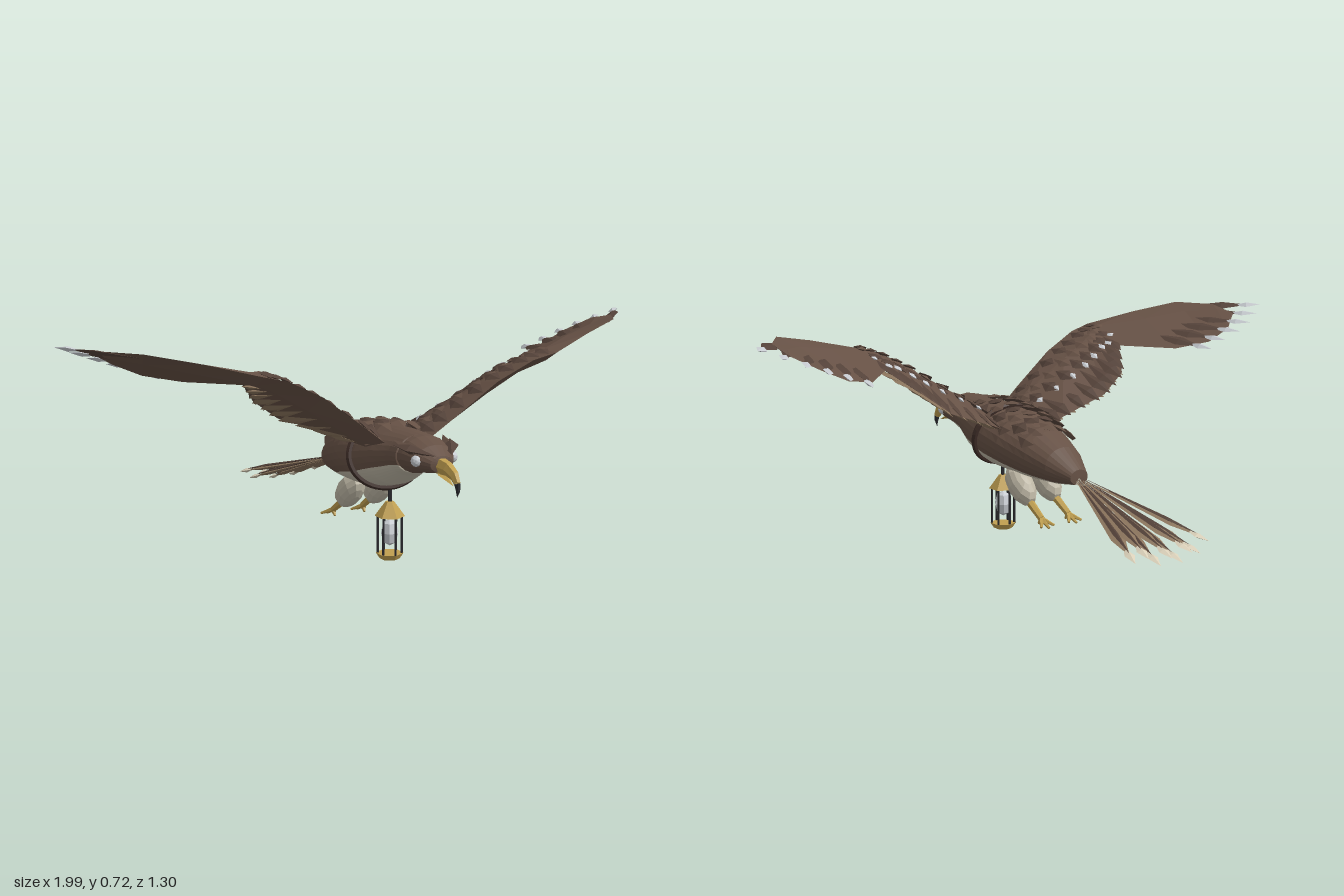
import * as THREE from 'three';

const V = (x, y, z) => new THREE.Vector3(x, y, z);
const UP = V(0, 1, 0);
const lerp = THREE.MathUtils.lerp;

function mat(name, color, flatShading = true) {
  const m = new THREE.MeshStandardMaterial({ color, flatShading, side: THREE.DoubleSide });
  m.name = name;
  return m;
}

// Linear look-up in a table sorted by its first column
function sample(table, z) {
  let i = 0;
  while (i < table.length - 2 && z > table[i + 1][0]) i++;
  const t = THREE.MathUtils.clamp((z - table[i][0]) / (table[i + 1][0] - table[i][0]), 0, 1);
  return table[i].map((v, k) => lerp(v, table[i + 1][k], t));
}

// Skin through rings of points
function loft(rings, closed = true) {
  const n = rings[0].length, idx = [];
  for (let i = 0; i < rings.length - 1; i++)
    for (let j = 0; j < (closed ? n : n - 1); j++) {
      const a = i * n + j, b = i * n + (j + 1) % n;
      idx.push(a, b, b + n, a, b + n, a + n);
    }
  const g = new THREE.BufferGeometry().setFromPoints(rings.flat());
  g.setIndex(idx);
  g.computeVertexNormals();
  return g;
}

// Tapered horn along points in the yz plane
function horn(pts, radii) {
  return loft(pts.map((p, i) => {
    const T = pts[Math.min(i + 1, pts.length - 1)].clone().sub(pts[Math.max(i - 1, 0)]).normalize();
    const n = T.clone().cross(V(1, 0, 0));
    return Array.from({ length: 6 }, (_, k) => {
      const a = k * Math.PI / 3;
      return p.clone().add(V(radii[i] * Math.cos(a) * 0.8, 0, 0)).addScaledVector(n, radii[i] * Math.sin(a));
    });
  }));
}

function add(parent, name, geo, m) {
  const mesh = new THREE.Mesh(geo, m);
  mesh.name = name;
  parent.add(mesh);
  return mesh;
}

// Pointed feather or scale from a to b, widest at fraction f
function blade(parent, name, m, a, b, w, h, f = 0.5, up = UP) {
  const dir = b.clone().sub(a), len = dir.length();
  dir.normalize();
  const side = up.clone().cross(dir).normalize();
  const g = new THREE.OctahedronGeometry(1, 0), p = g.attributes.position;
  for (let i = 0; i < p.count; i++) if (Math.abs(p.getZ(i)) < 0.5) p.setZ(i, 2 * f - 1);
  g.scale(w / 2, h / 2, len / 2);
  g.applyMatrix4(new THREE.Matrix4().makeBasis(side, dir.clone().cross(side), dir)
    .setPosition(a.clone().add(b).multiplyScalar(0.5)));
  g.computeVertexNormals();
  return add(parent, name, g, m);
}

function rod(parent, name, m, a, b, r0, r1, sides = 6) {
  const d = b.clone().sub(a);
  const mesh = add(parent, name, new THREE.CylinderGeometry(r1, r0, d.length(), sides), m);
  mesh.position.copy(a).add(b).multiplyScalar(0.5);
  mesh.quaternion.setFromUnitVectors(UP, d.normalize());
  return mesh;
}

// Body stations: z, top, bottom, half width
const BODY = [
  [-0.181, 0.25, 0.249, 0.001], [-0.18, 0.275, 0.225, 0.035], [-0.1, 0.335, 0.215, 0.075],
  [0, 0.385, 0.213, 0.105], [0.1, 0.412, 0.218, 0.125], [0.2, 0.427, 0.225, 0.13],
  [0.3, 0.435, 0.255, 0.112], [0.38, 0.437, 0.3, 0.088], [0.45, 0.437, 0.325, 0.08],
  [0.51, 0.42, 0.335, 0.068], [0.55, 0.395, 0.345, 0.038], [0.556, 0.371, 0.369, 0.001]];
// Belly edge: z, sine of the edge angle
const EDGE = [[-0.18, 0.9], [0, 0.7], [0.16, 0.43], [0.3, 0.3], [0.42, 0.45], [0.428, 1]];

function bodyPoint(z, a, grow = 0) {
  const [, top, bot, w] = sample(BODY, z);
  return V((w + grow) * Math.cos(a), (top + bot) / 2 + ((top - bot) / 2 + grow) * Math.sin(a), z);
}

// Wing sections: leading edge and trailing edge
const WING = [
  [V(0.05, 0.38, 0.34), V(0.05, 0.35, 0.08)], [V(0.15, 0.455, 0.36), V(0.14, 0.39, 0.085)],
  [V(0.3, 0.565, 0.38), V(0.31, 0.45, 0.075)], [V(0.42, 0.625, 0.395), V(0.4, 0.515, 0.09)],
  [V(0.5, 0.645, 0.405), V(0.475, 0.59, 0.2)], [V(0.66, 0.685, 0.34), V(0.61, 0.585, 0.05)],
  [V(0.81, 0.715, 0.277), V(0.72, 0.605, 0)], [V(0.885, 0.712, 0.16), V(0.81, 0.645, 0)],
  [V(0.885, 0.69, 0.06), V(0.88, 0.685, 0.05)]];
const THICK = [0.025, 0.025, 0.022, 0.02, 0.018, 0.014, 0.01, 0.008, 0.002];

// Point and normal on the wing; side is 1 for the top and -1 for underneath
function wingPoint(s, t, side, lift = 0) {
  const i = Math.min(Math.floor(s), WING.length - 2), f = s - i;
  const lead = WING[i][0].clone().lerp(WING[i + 1][0], f);
  const trail = WING[i][1].clone().lerp(WING[i + 1][1], f);
  const span = WING[i + 1][0].clone().sub(WING[i][0]);
  const normal = lead.clone().sub(trail).cross(span).normalize();
  const h = lerp(THICK[i], THICK[i + 1], f) * Math.max(0, t < 0.3 ? t / 0.3 : (1 - t) / 0.7);
  return { p: lead.lerp(trail, t).addScaledVector(normal, side * (h + lift)), normal };
}

export function createModel() {
  const brown = mat('brown plumage', 0x665145);
  const brownSmooth = brown;
  const darkBrown = mat('dark brown plumage', 0x55433a);
  const tan = mat('tan feather', 0x8a745c);
  const cream = mat('cream down', 0xbfb8a6);
  const pale = mat('pale tail tip', 0xd9cfb8);
  const silver = mat('silver', 0xc9cdd2);
  const gold = mat('gold', 0xc09f50);
  const black = mat('black iron', 0x2b2b2f);
  const leather = mat('leather', 0x3f2e28);
  const root = new THREE.Group();
  root.name = 'lanternBird';
  const group = (name, parent = root) => {
    const g = new THREE.Group();
    g.name = name;
    parent.add(g);
    return g;
  };

  // Body and belly share an edge line
  const zs = [-0.181];
  for (let z = -0.18; z < 0.42; z += 0.04) zs.push(z);
  zs.push(0.42, 0.428, 0.45, 0.48, 0.51, 0.55, 0.556);
  const arc = (z, under) => {
    const a = Math.asin(sample(EDGE, z)[1]);
    const from = under ? Math.PI + a : -a, to = under ? 2 * Math.PI - a : Math.PI + a;
    return Array.from({ length: 19 }, (_, j) => bodyPoint(z, lerp(from, to, j / 18)));
  };
  add(root, 'body', loft(zs.map(z => arc(z, false)), false), brownSmooth);
  add(root, 'belly', loft(zs.filter(z => z < 0.43).map(z => arc(z, true)), false), cream);

  // Overlapping scales on the back
  const back = group('backScales');
  for (let r = 0; r < 7; r++) {
    const z = 0.33 - r * 0.05, n = r % 2 ? 4 : 5;
    for (let k = 0; k < n; k++) {
      const a = Math.PI / 2 + (k - (n - 1) / 2) * 0.44;
      blade(back, 'backScale', r % 2 ? darkBrown : brown, bodyPoint(z, a, 0.002), bodyPoint(z - 0.085, a, 0.022),
        0.06, 0.018, 0.55, V(Math.cos(a), Math.sin(a), 0));
    }
  }

  // Beak
  const beak = group('beak');
  add(beak, 'upperBeak', horn([V(0, 0.365, 0.535), V(0, 0.363, 0.59), V(0, 0.35, 0.625), V(0, 0.33, 0.64)],
    [0.028, 0.022, 0.017, 0.012]), gold);
  add(beak, 'beakHook', horn([V(0, 0.33, 0.64), V(0, 0.31, 0.644), V(0, 0.29, 0.64)], [0.012, 0.008, 0.0005]), black);
  blade(beak, 'lowerBeak', gold, V(0, 0.35, 0.53), V(0, 0.318, 0.62), 0.034, 0.018, 0.3);

  // Fanned tail with pale tips
  const tail = group('tail');
  for (let i = 0; i < 8; i++) {
    const u = (i - 3.5) / 3.5, start = V(u * 0.012, 0.243, -0.175);
    const end = V(u * 0.135, 0.105 + 0.02 * u * u - (i % 2) * 0.018, -0.61 + 0.02 * u * u);
    const tip = end.clone().lerp(start, -0.09), neck = end.clone().lerp(start, 0.1);
    blade(tail, 'tailFeather', tan, start, end, 0.046, 0.014, 0.8);
    blade(tail, 'tailQuill', darkBrown, start.clone().add(V(0, 0.006, 0)), end.clone().add(V(0, 0.006, 0)), 0.02, 0.012, 0.75);
    blade(tail, 'tailTip', pale, neck, tip, 0.034, 0.016, 0.5);
  }

  // Paired parts, built on the left and mirrored
  for (const s of [1, -1]) {
    const side = group(s > 0 ? 'leftSide' : 'rightSide');
    side.scale.x = s;

    const eye = add(side, 'eye', new THREE.IcosahedronGeometry(0.018, 1), silver);
    eye.position.set(0.06, 0.377, 0.507);
    blade(side, 'browTuft', darkBrown, V(0.025, 0.398, 0.565), V(0.098, 0.415, 0.43), 0.05, 0.03, 0.6);
    blade(side, 'browTuft', brown, V(0.05, 0.39, 0.53), V(0.085, 0.425, 0.41), 0.04, 0.03, 0.5);

    // Leg
    const leg = group('leg', side);
    const thigh = add(leg, 'thigh', new THREE.SphereGeometry(1, 10, 8), cream);
    thigh.scale.set(0.043, 0.045, 0.082);
    thigh.position.set(0.052, 0.188, 0.062);
    thigh.rotation.x = -0.72;
    const ankle = V(0.055, 0.098, -0.055);
    rod(leg, 'shank', gold, V(0.053, 0.14, 0.01), ankle, 0.014, 0.011);
    for (const [x, y, z] of [[0.03, 0.08, -0.09], [0.056, 0.076, -0.098], [0.082, 0.08, -0.09], [0.055, 0.08, -0.04]])
      rod(leg, 'toe', gold, ankle, V(x, y, z), 0.009, 0.004, 5);

    // Wing skin
    const wing = group('wing', side);
    add(wing, 'wingSkin', loft(WING.map((_, i) =>
      [[0, 1], [0.3, -1], [1, 1], [0.3, 1]].map(([t, d]) => wingPoint(i, t, d).p))), brown);

    // Scales, silver studs and tan under-feathers of the inner wing
    for (let r = 0; r < 3; r++)
      for (let k = 0; k < 9; k++) {
        const q = 0.5 + (k + (r % 2) * 0.5) * 0.4, t = 0.02 + r * 0.17;
        const a = wingPoint(q, t, 1, 0.002), b = wingPoint(Math.min(q + 0.08, 4.2), t + 0.27, 1, 0.012);
        blade(wing, 'wingScale', r % 2 ? brown : darkBrown, a.p, b.p, 0.052, 0.014, 0.55, a.normal);
      }
    for (let k = 0; k < 8; k++) {
      const q = 0.95 + k * 0.44, t = k < 6 ? 0.58 : 0.7;
      const a = wingPoint(q, t - 0.07, 1, 0.008), b = wingPoint(q, t + 0.07, 1, 0.012);
      blade(wing, 'silverStud', silver, a.p, b.p, 0.028, 0.012, 0.5, a.normal);
    }
    for (let k = 0; k < 10; k++) {
      const q = 0.7 + k * 0.34;
      const a = wingPoint(q, 0.35, -1, 0.002), b = wingPoint(q + 0.25, 1.02, -1, 0.006);
      blade(wing, 'underFeather', tan, a.p, b.p, 0.05, 0.014, 0.65, a.normal);
      const c = wingPoint(q, 0.55, 1, 0.001), d = wingPoint(q + 0.1, 1.06, 1, 0.002);
      blade(wing, 'trailingFeather', darkBrown, c.p, d.p, 0.05, 0.012, 0.6, c.normal);
    }

    // Long outer feathers with silver tips
    const tips = [[0.675, 0.59, -0.06], [0.745, 0.615, -0.055], [0.815, 0.64, -0.055],
      [0.88, 0.665, -0.04], [0.94, 0.69, -0.01], [0.995, 0.715, 0.03]];
    tips.forEach(([x, y, z], k) => {
      const tip = V(x, y, z), base = V(0.6 + k * 0.042, 0.625 + k * 0.015, 0.2 + k * 0.01);
      const n = V(-0.4, 1, -0.2).normalize();
      blade(wing, 'outerFeather', darkBrown, base, tip.clone().lerp(base, 0.14), 0.05, 0.014, 0.6, n);
      blade(wing, 'featherTip', silver, tip.clone().lerp(base, 0.34), tip, 0.034, 0.016, 0.5, n);
    });
  }

  // Strap around the chest
  const loop = Array.from({ length: 24 }, (_, i) => {
    const a = i * Math.PI / 12;
    return bodyPoint(0.212 - 0.025 * Math.sin(a), a, 0.004);
  });
  add(root, 'chestStrap', new THREE.TubeGeometry(new THREE.CatmullRomCurve3(loop, true), 48, 0.01, 6, true), leather);

  // Hanging lantern
  const lantern = group('lantern');
  lantern.position.z = 0.235;
  const drum = (name, m, r0, r1, y0, y1) => rod(lantern, name, m, V(0, y0, 0), V(0, y1, 0), r0, r1);
  drum('hanger', black, 0.006, 0.006, 0.18, 0.24);
  drum('lanternRoof', gold, 0.048, 0.014, 0.138, 0.185);
  drum('lanternBase', gold, 0.032, 0.044, 0, 0.018);
  for (let i = 0; i < 6; i++) {
    const a = i * Math.PI / 3, x = 0.038 * Math.sin(a), z = 0.038 * Math.cos(a);
    rod(lantern, 'lanternPost', black, V(x, 0.015, z), V(x, 0.142, z), 0.004, 0.004, 5);
  }
  const crystal = add(lantern, 'crystal', new THREE.SphereGeometry(0.031, 6, 4), silver);
  crystal.scale.y = 1.4;
  crystal.position.y = 0.085;
  return root;
}
